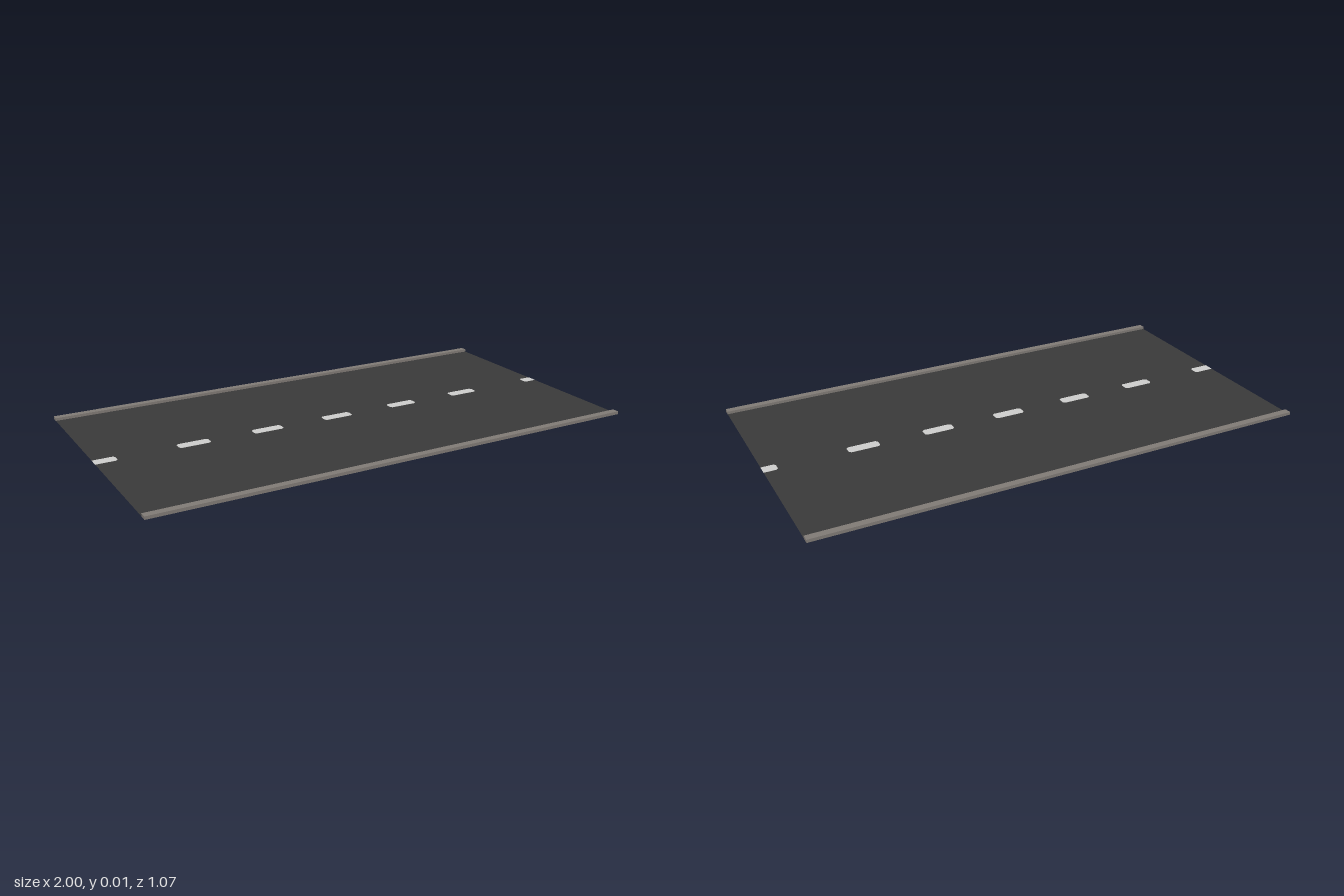
import * as THREE from 'three';

export function createModel() {
  const group = new THREE.Group();
  const asphalt = new THREE.MeshStandardMaterial({ color: 0x3a3a3a, side: THREE.DoubleSide });
  asphalt.name = 'asphalt';
  const paint = new THREE.MeshStandardMaterial({ color: 0xd0d0ce });
  paint.name = 'linePaint';
  const stone = new THREE.MeshStandardMaterial({ color: 0x827c77 });
  stone.name = 'kerbStone';

  const add = (name, geometry, material, x, y, z) => {
    const mesh = new THREE.Mesh(geometry, material);
    mesh.name = name;
    mesh.position.set(x, y, z);
    group.add(mesh);
  };

  // Thin road sheet, visible from both sides
  add('roadSurface', new THREE.PlaneGeometry(2, 1.01).rotateX(-Math.PI / 2), asphalt, 0, 0.001, 0);

  // Kerbs along both long edges
  for (const side of [1, -1]) {
    add(side > 0 ? 'frontKerb' : 'backKerb', new THREE.BoxGeometry(2, 0.012, 0.028), stone, 0, 0.006, side * 0.519);
  }

  // Centre dashes with clipped corners; the end dashes are cut square at the road edge
  const h = 0.021, cut = 0.008;
  const dashes = [[-1, -0.915], [-0.68, -0.553], [-0.373, -0.248], [-0.065, 0.06], [0.243, 0.366], [0.55, 0.675], [0.945, 1]];
  for (const [x0, x1] of dashes) {
    const a = x0 <= -1 ? 0 : cut, b = x1 >= 1 ? 0 : cut;
    const points = [[x0 + a, -h], [x1 - b, -h]];
    if (b) points.push([x1, -h + b], [x1, h - b]);
    points.push([x1 - b, h], [x0 + a, h]);
    if (a) points.push([x0, h - a], [x0, -h + a]);
    const shape = new THREE.Shape(points.map(([x, y]) => new THREE.Vector2(x, y)));
    const geometry = new THREE.ExtrudeGeometry(shape, { depth: 0.002, bevelEnabled: false });
    add('centreDash', geometry.rotateX(-Math.PI / 2), paint, 0, 0, -0.005);
  }
  return group;
}
